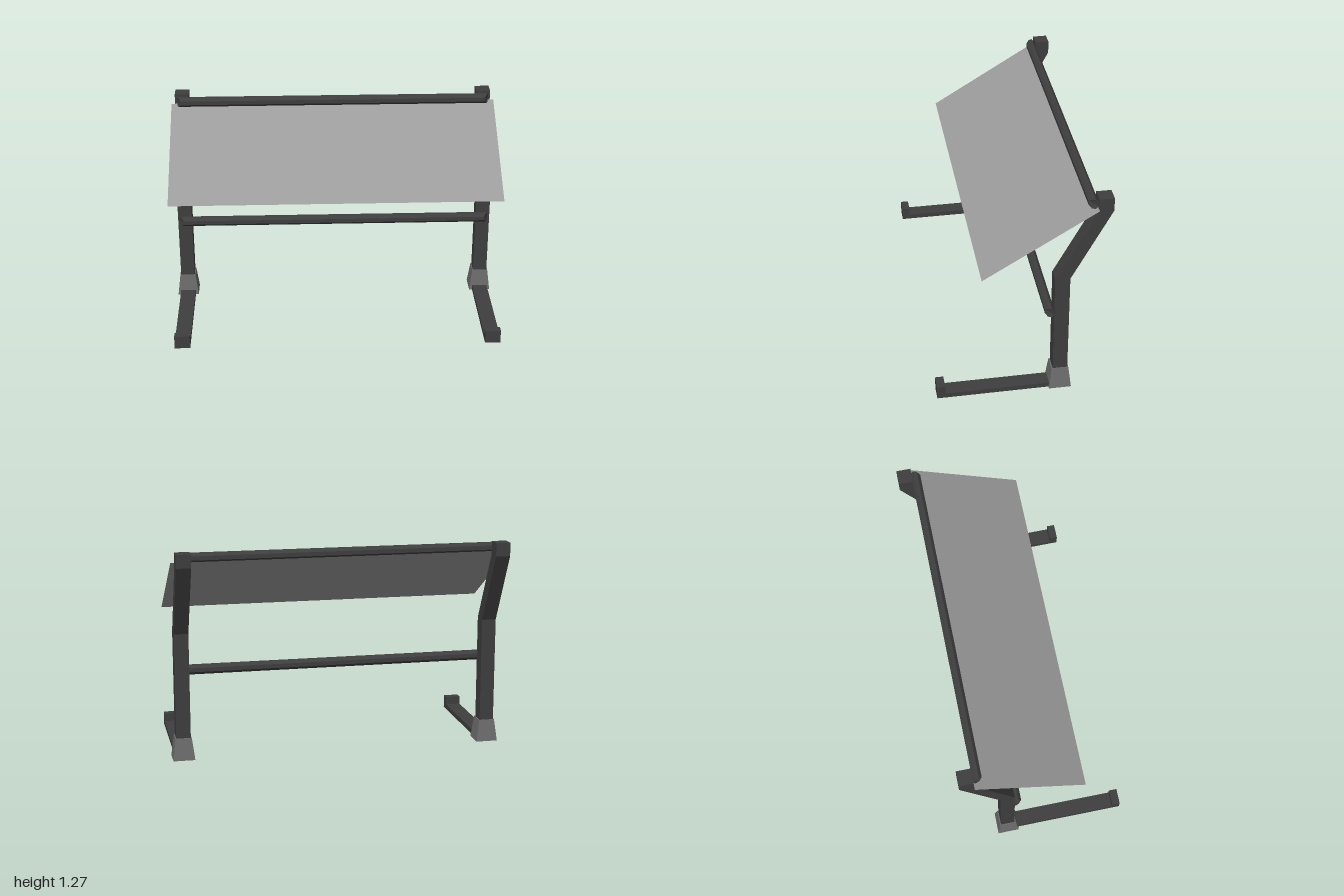
import * as THREE from 'three';

const frameMat = new THREE.MeshStandardMaterial({ color: 0x3e3e3e });
frameMat.name = 'dark frame';
const baseMat = new THREE.MeshStandardMaterial({ color: 0x6c6c6c });
baseMat.name = 'grey base';
const panelMat = new THREE.MeshStandardMaterial({ color: 0x9c9c9c, side: THREE.DoubleSide });
panelMat.name = 'light panel';

function mesh(name, geometry, material) {
  const m = new THREE.Mesh(geometry, material);
  m.name = name;
  return m;
}

// Extrudes a (z, y) outline along x, centred on x = 0
function extrudeX(points, width) {
  const shape = new THREE.Shape(points.map(([z, y]) => new THREE.Vector2(-z, y)));
  const g = new THREE.ExtrudeGeometry(shape, { depth: width, bevelEnabled: false });
  return g.translate(0, 0, -width / 2).rotateY(Math.PI / 2);
}

// Tapered block: the top corners are pulled in
function baseBlock() {
  const g = new THREE.BoxGeometry(0.13, 0.133, 0.13);
  const p = g.attributes.position;
  for (let i = 0; i < p.count; i++) {
    if (p.getY(i) > 0) {
      p.setX(i, p.getX(i) * 0.74);
      p.setZ(i, p.getZ(i) * 0.76);
    }
  }
  g.computeVertexNormals();
  return g;
}

// Eight-sided rail whose ends are mitred toward the front
function rail(name, y, zFront) {
  const h = 0.0285, f = 0.012, d = 0.052, c = 0.016;
  const outline = [
    [0, -f], [0, f], [-c, h], [-d + c, h],
    [-d, f], [-d, -f], [-d + c, -h], [-c, -h],
  ];
  const g = extrudeX(outline, 1.926);
  const p = g.attributes.position;
  for (let i = 0; i < p.count; i++) {
    const cut = Math.max(0, p.getZ(i) + d / 2) * 0.9;
    p.setX(i, p.getX(i) - Math.sign(p.getX(i)) * cut);
  }
  g.computeVertexNormals();
  const m = mesh(name, g, frameMat);
  m.position.set(0, y, zFront);
  return m;
}

// Upright, base and foot of one side
function side(name, x) {
  const group = new THREE.Group();
  group.name = name;
  const post = extrudeX([
    [-0.18, 0.02], [-0.18, 0.765], [-0.411, 1.194], [-0.411, 1.273],
    [-0.495, 1.273], [-0.495, 1.194], [-0.266, 0.765], [-0.266, 0.02],
  ], 0.086);
  const foot = extrudeX([
    [0.495, 0], [0.495, 0.08], [0.447, 0.08], [0.447, 0.03], [-0.2, 0.03], [-0.2, 0],
  ], 0.093);
  const base = mesh('base', baseBlock(), baseMat);
  base.position.set(0, 0.0665, -0.222);
  group.add(mesh('post', post, frameMat), mesh('foot', foot, frameMat), base);
  group.position.x = x;
  return group;
}

// Sloping flat panel
function panel() {
  const top = [-0.41, 1.213], bottom = [0.235, 0.822];
  const dz = bottom[0] - top[0], dy = top[1] - bottom[1];
  const g = new THREE.PlaneGeometry(2, Math.hypot(dz, dy));
  g.rotateX(-Math.atan2(dz, dy));
  const m = mesh('panel', g, panelMat);
  m.position.set(0, (top[1] + bottom[1]) / 2, (top[0] + bottom[0]) / 2);
  return m;
}

export function createModel() {
  const model = new THREE.Group();
  model.name = 'stand';
  model.add(
    side('leftSide', 0.935),
    side('rightSide', -0.935),
    rail('upperRail', 1.234, -0.36),
    rail('lowerRail', 0.523, -0.134),
    panel(),
  );
  return model;
}
